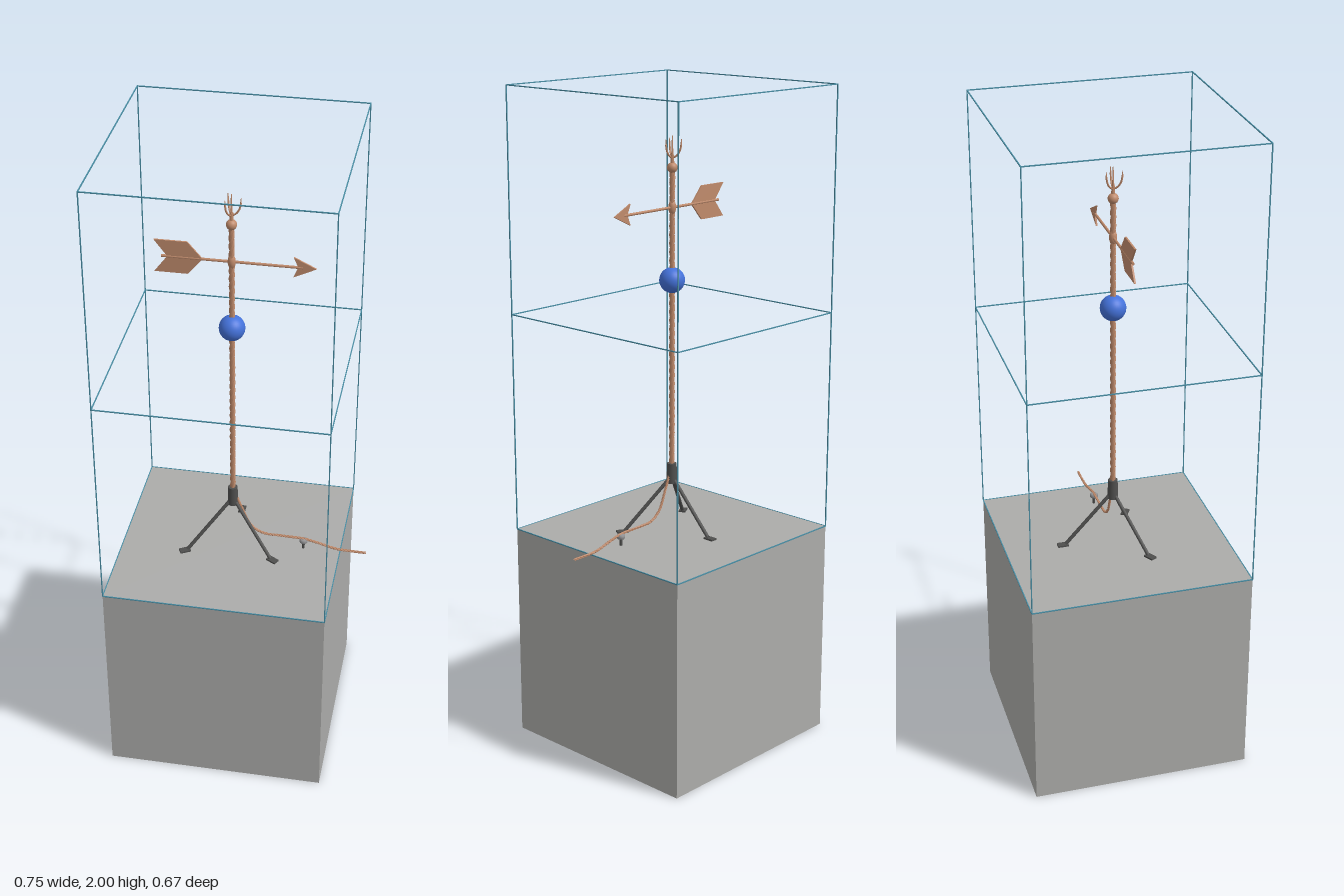
import * as THREE from 'three';

const mat = (name, color) => {
  const m = new THREE.MeshStandardMaterial({ color });
  m.name = name;
  return m;
};

const CX = -0.04, S = 2 / 3, UP = new THREE.Vector3(0, 1, 0);
const v = (x, y, z = 0) => new THREE.Vector3(x, y, z);

// A strand wound around a centre path lying in the x-y plane
class Strand extends THREE.Curve {
  constructor(path, radius, turns, phase) {
    super();
    Object.assign(this, { path, radius, turns, phase });
  }
  getPoint(t, target = new THREE.Vector3()) {
    const a = t * this.turns * Math.PI * 2 + this.phase;
    const tan = this.path.getTangentAt(t);
    const n = v(-tan.y, tan.x).multiplyScalar(Math.cos(a) * this.radius);
    return target.copy(this.path.getPointAt(t)).add(n).add(v(0, 0, Math.sin(a) * this.radius));
  }
}

export function createModel() {
  const stone = mat('stone grey', 0xacacaa);
  const copper = mat('copper', 0xc08b6c);
  const iron = mat('dark iron', 0x4f4f4e);
  const steel = mat('insulator grey', 0x929294);
  const blue = mat('blue glass', 0x4472da);
  const teal = mat('teal wire', 0x4a8ea4);

  const model = new THREE.Group();
  const add = (name, geo, material, x = 0, y = 0, z = 0, parent = model) => {
    const m = new THREE.Mesh(geo, material);
    m.name = name;
    m.position.set(x, y, z);
    parent.add(m);
    return m;
  };
  const rod = (name, a, b, r1, r2, material, parent = model) => {
    const d = b.clone().sub(a), mid = a.clone().add(b).multiplyScalar(0.5);
    const m = add(name, new THREE.CylinderGeometry(r2, r1, d.length(), 10), material, mid.x, mid.y, mid.z, parent);
    m.quaternion.setFromUnitVectors(UP, d.normalize());
  };
  const twist = (name, path, offset, radius, turns, steps) => {
    for (let i = 0; i < 3; i++) {
      const strand = new Strand(path, offset, turns, (i * Math.PI * 2) / 3);
      add(name, new THREE.TubeGeometry(strand, steps, radius, 8), copper);
    }
  };

  // Solid base block
  add('baseBlock', new THREE.BoxGeometry(S - 0.001, S - 0.001, S - 0.001), stone, CX, (S - 0.001) / 2, 0);

  // Wire cage of two stacked cubes above the block
  const cage = new THREE.Group();
  cage.name = 'wireCage';
  model.add(cage);
  const w = 0.003, h = S / 2 - w / 2 + 0.001;
  for (const s of [-1, 1]) {
    for (const y of [S - w / 2, 2 * S, 2 - w / 2]) {
      add('cageRail', new THREE.BoxGeometry(S, w, w), teal, CX, y, s * h, cage);
      add('cageRail', new THREE.BoxGeometry(w, w, S), teal, CX + s * h, y, 0, cage);
    }
    for (const q of [-1, 1]) {
      add('cagePost', new THREE.BoxGeometry(w, 2 * S, w), teal, CX + s * h, 2 * S, q * h, cage);
    }
  }

  // Tripod: collar, three legs and flat feet
  add('tripodCollar', new THREE.CylinderGeometry(0.0145, 0.0165, 0.062, 16), iron, CX, 0.841, 0);
  for (let i = 0; i < 3; i++) {
    const leg = new THREE.Group();
    leg.name = 'tripodLeg';
    leg.position.x = CX;
    leg.rotation.y = Math.PI + (i * Math.PI * 2) / 3;
    model.add(leg);
    rod('legRod', v(0, 0.823, 0.008), v(0, 0.671, 0.148), 0.0055, 0.0055, iron, leg);
    add('foot', new THREE.BoxGeometry(0.021, 0.005, 0.033), iron, 0, S + 0.002, 0.157, leg);
  }

  // Twisted mast
  const mast = new THREE.LineCurve3(v(CX, 0.85), v(CX, 1.77));
  twist('mastStrand', mast, 0.0042, 0.0046, 12, 220);

  // Glass ball
  add('glassBall', new THREE.SphereGeometry(0.038, 32, 20), blue, CX, 1.434, 0);

  // Weather vane: hub, shaft, head and tail
  const vane = new THREE.Group();
  vane.name = 'weatherVane';
  vane.position.y = 1.648;
  model.add(vane);
  const hub = add('vaneHub', new THREE.SphereGeometry(0.0115, 18, 12), copper, CX, 0, 0, vane);
  hub.scale.y = 1.9;
  rod('vaneShaft', v(-0.24, 0), v(0.16, 0), 0.004, 0.004, copper, vane);
  const plate = (name, points) => {
    const shape = new THREE.Shape(points.map(([x, y]) => new THREE.Vector2(x, y)));
    const geo = new THREE.ExtrudeGeometry(shape, { depth: 0.005, bevelEnabled: false });
    add(name, geo, copper, 0, 0, -0.0025, vane);
  };
  plate('arrowHead', [[0.198, 0], [0.134, 0.031], [0.147, 0], [0.134, -0.031]]);
  plate('arrowTail', [[-0.122, 0], [-0.165, 0.05], [-0.26, 0.05], [-0.222, 0], [-0.26, -0.05], [-0.165, -0.05]]);

  // Finial: ball, centre spike and three curved prongs
  add('finialBall', new THREE.SphereGeometry(0.0155, 20, 14), copper, CX, 1.763, 0);
  rod('finialStem', v(CX, 1.77), v(CX, 1.8), 0.006, 0.005, copper);
  rod('centreSpike', v(CX, 1.795), v(CX, 1.855), 0.0035, 0.0012, copper);
  const prongPath = new THREE.CatmullRomCurve3([v(0, 1.79), v(0.014, 1.799), v(0.023, 1.814), v(0.026, 1.828)]);
  for (let i = 0; i < 3; i++) {
    const prong = new THREE.Group();
    prong.name = 'prong';
    prong.position.x = CX;
    prong.rotation.y = (i * Math.PI * 2) / 3;
    model.add(prong);
    add('prongCurve', new THREE.TubeGeometry(prongPath, 12, 0.0027, 8), copper, 0, 0, 0, prong);
    rod('prongTip', v(0.026, 1.827), v(0.027, 1.846), 0.0027, 0.0008, copper, prong);
  }

  // Grounding cable running from the mast over the block edge
  const cable = new THREE.CatmullRomCurve3([
    v(CX + 0.012, 0.835), v(-0.01, 0.79), v(0.015, 0.735), v(0.05, 0.709), v(0.11, 0.704),
    v(0.18, 0.702), v(0.225, 0.692), v(0.28, 0.677), v(0.33, 0.674), v(0.373, 0.674),
  ]);
  twist('groundCable', cable, 0.002, 0.0022, 14, 200);

  // Cable standoff: post with a rounded insulator knob
  rod('standoffPost', v(0.18, S), v(0.18, 0.692), 0.004, 0.004, iron);
  const knob = [[0, 0.687], [0.009, 0.687], [0.0125, 0.691], [0.0125, 0.698], [0.009, 0.702], [0, 0.702]];
  add('standoffKnob', new THREE.LatheGeometry(knob.map(([x, y]) => new THREE.Vector2(x, y)), 20), steel, 0.18);

  return model;
}
